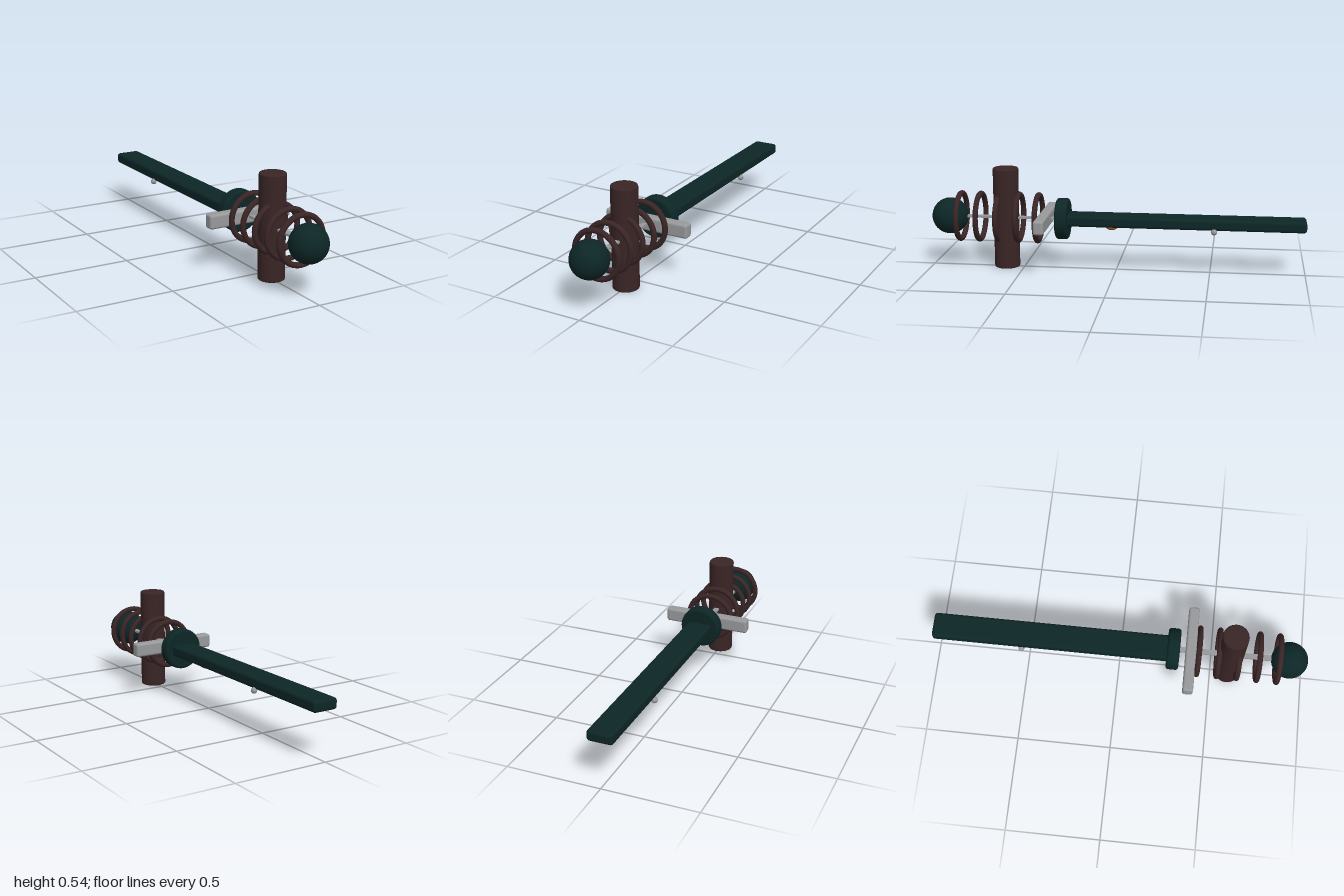
import * as THREE from 'three';
import { RoundedBoxGeometry } from 'three/addons/geometries/RoundedBoxGeometry.js';

const AXIS_Y = 0.272; // height of the long axis

export function createModel() {
  const group = new THREE.Group();
  const mat = (name, color) => new THREE.MeshStandardMaterial({ name, color });
  const green = mat('dark green', 0x0d2626);
  const brown = mat('dark brown', 0x3a2526);
  const silver = mat('silver', 0x97999b);
  const copper = mat('copper', 0xb85c26);

  const add = (name, geometry, material, x, y, z) => {
    const mesh = new THREE.Mesh(geometry, material);
    mesh.name = name;
    mesh.position.set(x, y, z);
    group.add(mesh);
    return mesh;
  };

  // Cylinder with softly rounded rims, centred on its own axis
  const roundedCylinder = (radius, height, bevel) => {
    const h = height / 2;
    const points = [new THREE.Vector2(0, -h)];
    for (const side of [-1, 1]) {
      for (let i = 0; i <= 4; i++) {
        const a = (side < 0 ? i - 4 : i) * Math.PI / 8;
        points.push(new THREE.Vector2(
          radius - bevel + bevel * Math.cos(a),
          side * (h - bevel) + bevel * Math.sin(a)));
      }
    }
    points.push(new THREE.Vector2(0, h));
    return new THREE.LatheGeometry(points, 48);
  };

  // Scabbard and its collar
  add('scabbard', new RoundedBoxGeometry(0.136, 0.058, 1.29, 3, 0.016), green, 0, AXIS_Y, -0.353);
  add('collar', roundedCylinder(0.11, 0.066, 0.014), green, 0, AXIS_Y, 0.287).rotation.x = Math.PI / 2;

  // Guard and the thin blade core running through the grip
  add('guard', new RoundedBoxGeometry(0.472, 0.075, 0.056, 3, 0.013), silver, 0, AXIS_Y, 0.38);
  add('core', new THREE.BoxGeometry(0.028, 0.011, 0.55), silver, 0, AXIS_Y, 0.565);

  // Upright grip with wrapping rings
  add('grip', roundedCylinder(0.068, 0.542, 0.008), brown, 0, 0.271, 0.594);
  for (let i = 0; i < 5; i++) {
    add('gripRing', new THREE.TorusGeometry(0.123, 0.0145, 12, 48), brown, 0, AXIS_Y, 0.42 + i * 0.1055);
  }

  // Pommel
  add('pommel', new THREE.SphereGeometry(0.097, 40, 28), green, 0, AXIS_Y, 0.902);

  // Studs and button under the scabbard
  for (const side of [-1, 1]) {
    add('stud', new THREE.SphereGeometry(0.016, 20, 14), silver, side * 0.068, 0.238, -0.52);
  }
  add('button', new THREE.SphereGeometry(0.033, 24, 16), copper, 0, 0.238, 0.025).scale.y = 0.62;

  return group;
}
